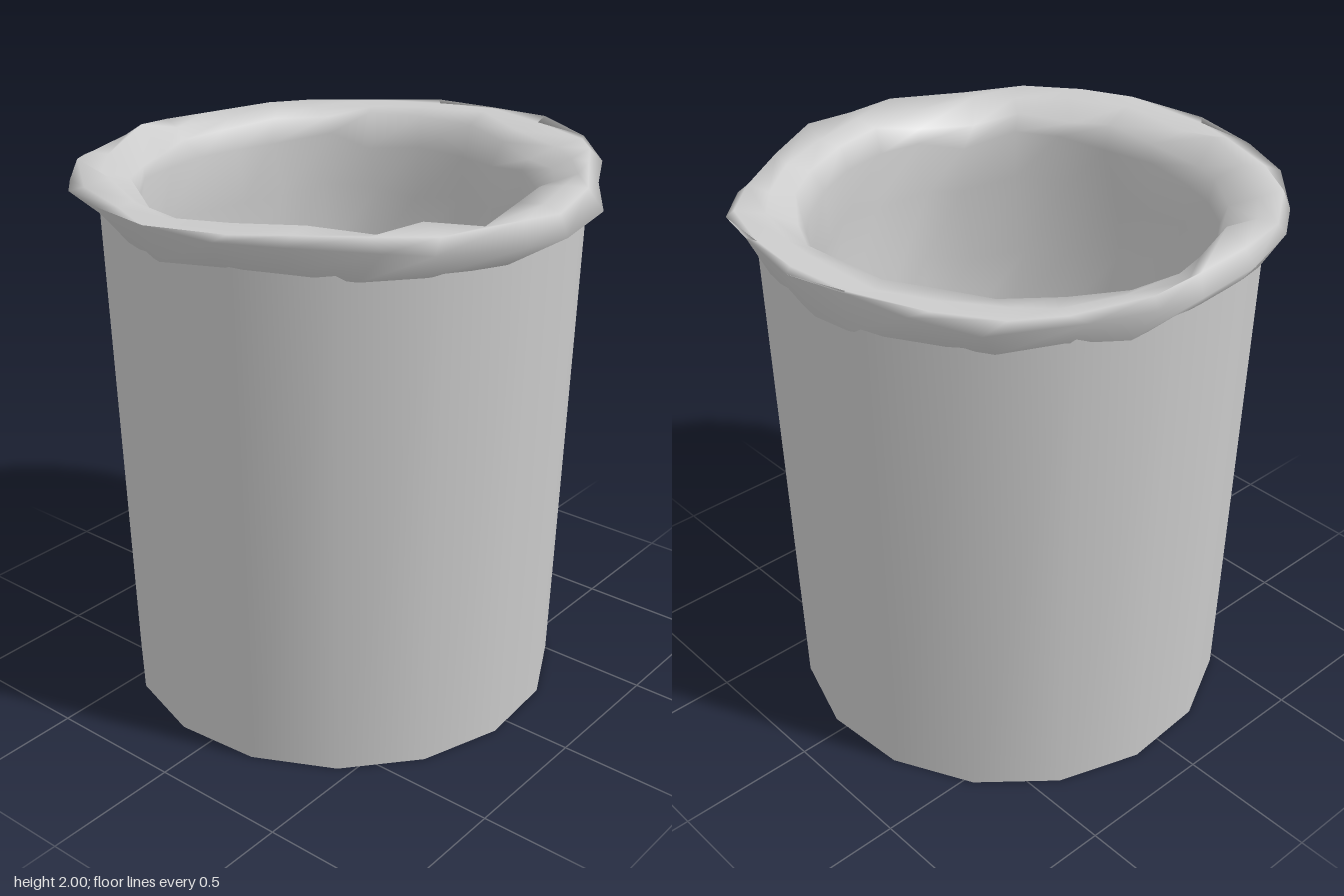
import * as THREE from 'three';

const CX = 0.02, CZ = -0.04; // axis of the bin
const SEG = 24;

// Outer radius of the folded bag rim, every 15 degrees from +x towards +z
const RIM = [0.91, 0.91, 0.94, 0.91, 0.87, 0.92, 0.95, 0.93, 0.92, 0.92, 0.93, 0.94,
  0.95, 0.93, 0.95, 0.93, 0.92, 0.89, 0.88, 0.9, 0.91, 0.92, 0.9, 0.905];
// Height of the bag's lower hem at the same angles
const HEM = [1.8, 1.82, 1.81, 1.835, 1.825, 1.855, 1.83, 1.805, 1.81, 1.81, 1.83, 1.83,
  1.8, 1.82, 1.85, 1.82, 1.8, 1.84, 1.85, 1.81, 1.84, 1.81, 1.825, 1.8];

// Bag cross-section from the outer hem, over the rim and down to the floor:
// [radius, height, radial crumple, vertical crumple, rim irregularity, lumpiness]
const PROFILE = [
  [0.842, 0, 0.004, 0, 0, 0],
  [0.915, 1.925, 0.012, 0.025, 1, 0],
  [0.88, 1.955, 0.015, 0.02, 0.9, 0],
  [0.8, 1.95, 0.025, 0.025, 0.4, 0],
  [0.72, 1.91, 0.018, 0.03, 0.1, 0],
  [0.69, 1.83, 0.018, 0.03, 0, 0],
  [0.69, 1.65, 0.02, 0.03, 0, 0],
  [0.69, 1.38, 0.03, 0.04, 0, 0],
  [0.67, 1.08, 0.035, 0.04, 0, 0],
  [0.63, 0.78, 0.035, 0.04, 0, 0.3],
  [0.56, 0.55, 0.03, 0.03, 0, 0.7],
  [0.45, 0.42, 0.025, 0.02, 0, 1],
  [0.31, 0.36, 0.02, 0.01, 0, 1],
  [0.16, 0.34, 0.01, 0, 0, 1],
  [0.001, 0.33, 0, 0, 0, 1],
];

function seeded(seed) {
  let s = seed;
  return () => {
    s = (s * 16807) % 2147483647;
    return (s / 2147483647) * 2 - 1;
  };
}

// Soft lumps across the bottom of the bag
const lump = (x, z) => 0.04 * Math.sin(9 * x + 3 * z + 1) * Math.cos(10 * z - 2 * x)
  + 0.02 * Math.sin(15 * z + 5 * x);

// Smooth grid of rings joined around the axis
function bagGeometry() {
  const rand = seeded(4271);
  const pos = [], index = [];
  PROFILE.forEach(([r, y, dr, dy, share, lumpy], i) => {
    for (let k = 0; k < SEG; k++) {
      const a = (k / SEG) * Math.PI * 2;
      const turn = a + rand() * (i > 12 ? 0 : 0.05);
      const rad = r + (RIM[k] - 0.92) * share + rand() * dr;
      const x = Math.cos(turn) * rad, z = Math.sin(turn) * rad;
      let h = y + rand() * dy + lumpy * lump(x, z);
      if (i === 0) h = HEM[k];
      if (i === 1) h += 0.03 * Math.cos(2 * a); // outer fold rises at the sides
      if (i === 3 && k === 17) h = 2; // highest fold, at the back
      pos.push(CX + x, Math.min(h, 2), CZ + z);
      if (i < PROFILE.length - 1) {
        const p = i * SEG + k, q = i * SEG + ((k + 1) % SEG);
        index.push(p, p + SEG, q, q, p + SEG, q + SEG);
      }
    }
  });
  const geo = new THREE.BufferGeometry();
  geo.setAttribute('position', new THREE.Float32BufferAttribute(pos, 3));
  geo.setIndex(index);
  geo.computeVertexNormals();
  return geo;
}

export function createModel() {
  const group = new THREE.Group();
  group.name = 'linedBin';
  const material = new THREE.MeshStandardMaterial({ color: 0xcccccc, side: THREE.DoubleSide });

  const wall = (name, rTop, rBottom, yBottom, yTop) => {
    const geo = new THREE.CylinderGeometry(rTop, rBottom, yTop - yBottom, 16, 1, true);
    const mesh = new THREE.Mesh(geo, material);
    mesh.name = name;
    mesh.position.set(CX, (yTop + yBottom) / 2, CZ);
    mesh.rotation.y = -0.12;
    group.add(mesh);
  };

  // Tapered bin, open at the foot, with a thin inner skin
  wall('binWall', 0.846, 0.795, 0, 1.86);
  wall('binInnerWall', 0.834, 0.787, 0.16, 1.86);

  // Crumpled bag folded over the rim
  const bag = new THREE.Mesh(bagGeometry(), material);
  bag.name = 'binBag';
  group.add(bag);
  return group;
}
